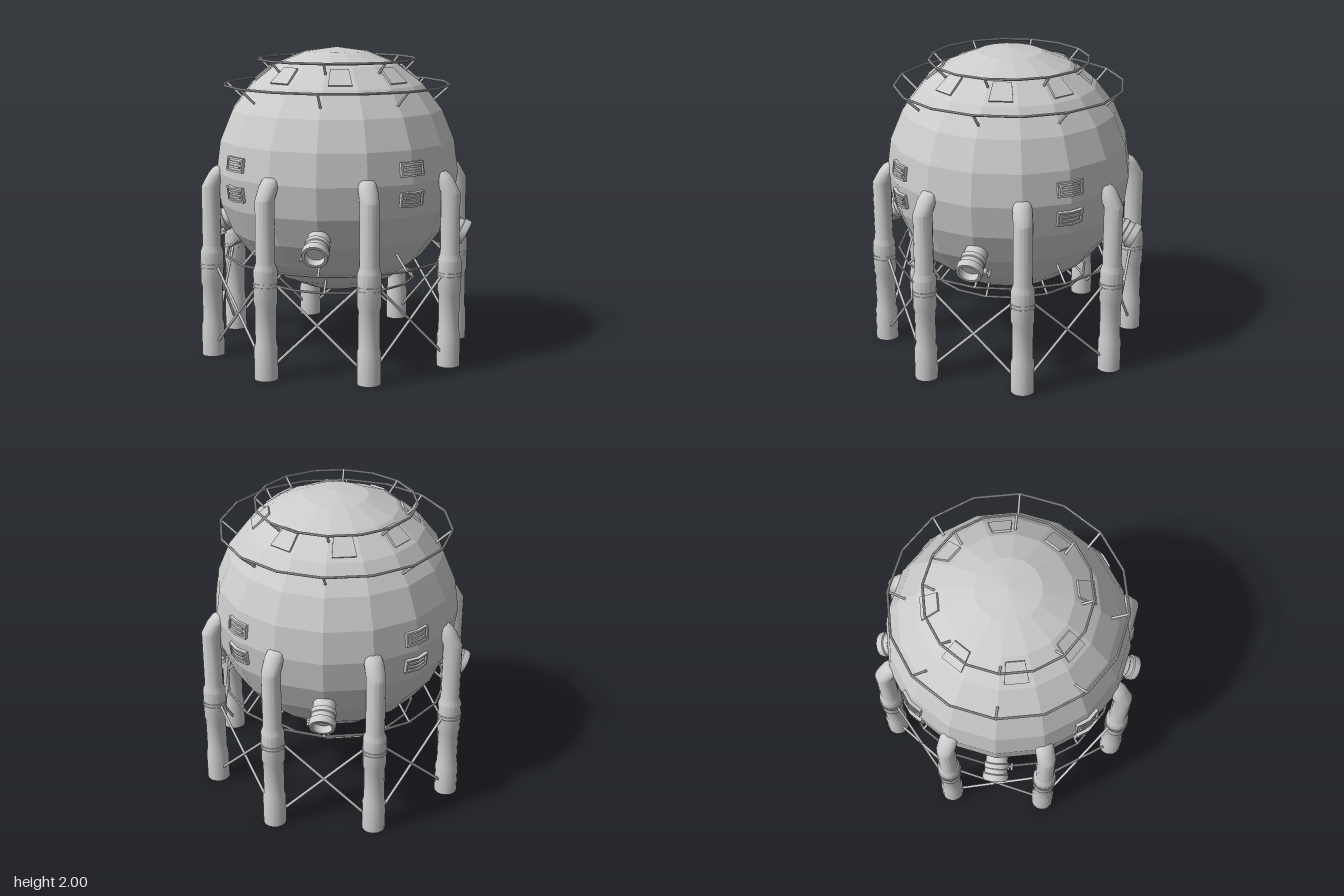
import * as THREE from 'three';
import { toCreasedNormals } from 'three/addons/utils/BufferGeometryUtils.js';

const R = 0.794, CY = 1.206, LEG_R = 0.834;
const smooth = new THREE.MeshStandardMaterial({ color: 0xcccccc, side: THREE.DoubleSide });
const flat = new THREE.MeshStandardMaterial({ color: 0xcccccc, flatShading: true });
const V = (x, y, z) => new THREE.Vector3(x, y, z);

function add(parent, name, geo, mat = smooth) {
  const m = new THREE.Mesh(geo, mat);
  m.name = name;
  parent.add(m);
  return m;
}

function group(parent, name, angle = 0) {
  const g = new THREE.Group();
  g.name = name;
  g.rotation.y = angle;
  parent.add(g);
  return g;
}

// Round bar between two points
function rod(parent, name, a, b, r) {
  const m = add(parent, name, new THREE.CylinderGeometry(r, r, a.distanceTo(b), 8));
  m.position.copy(a).lerp(b, 0.5);
  m.quaternion.setFromUnitVectors(V(0, 1, 0), b.clone().sub(a).normalize());
  return m;
}

const lathe = (pts, sides) =>
  new THREE.LatheGeometry(pts.map(p => new THREE.Vector2(p[0], p[1])), sides);

// Leg profile, its top leaning inwards to meet the tank
function legGeometry() {
  const g = lathe([[0, 0], [0.075, 0], [0.075, 0.2], [0.067, 0.23], [0.067, 0.46], [0.075, 0.49],
    [0.075, 0.69], [0.061, 0.73], [0.061, 1.12], [0.061, 1.2], [0.052, 1.235], [0.035, 1.25], [0, 1.25]], 16);
  const p = g.attributes.position;
  for (let i = 0; i < p.count; i++) {
    const lean = Math.max(0, p.getY(i) - 1.12);
    p.setZ(i, p.getZ(i) - lean * 0.55);
  }
  return toCreasedNormals(g, 0.5);
}

// Box folded at its middle to follow the corner of the tank
function foldedBox(w, h, d, y, z) {
  const g = new THREE.BoxGeometry(w, h, d, 2, 1, 1).translate(0, y, z);
  const p = g.attributes.position;
  for (let i = 0; i < p.count; i++) p.setZ(i, p.getZ(i) - Math.abs(p.getX(i)) * 0.199);
  return g;
}

function addVent(parent, y, tilt) {
  const v = group(parent, 'vent');
  v.position.set(0, y, R * Math.cos(Math.asin((y - CY) / R)) - 0.006);
  v.rotation.x = tilt;
  add(v, 'ventPlate', foldedBox(0.17, 0.092, 0.02, 0, 0), flat);
  for (const s of [-1, 1]) {
    add(v, 'ventFrame', foldedBox(0.17, 0.012, 0.03, s * 0.04, 0.006), flat);
    add(v, 'ventSlat', foldedBox(0.12, 0.014, 0.03, s * 0.014, 0.006), flat);
    const side = add(v, 'ventFrameSide', new THREE.BoxGeometry(0.012, 0.092, 0.03), flat);
    side.position.set(s * 0.079, 0, -0.01);
    side.rotation.y = s * 0.196;
  }
}

function addNozzle(parent, angle, side) {
  const n = group(group(parent, 'nozzle', angle), 'nozzleAxis');
  n.position.y = CY;
  n.rotation.x = Math.PI / 2 + 0.446;
  add(n, 'nozzlePipe', toCreasedNormals(lathe([[0.072, 0.72], [0.072, 0.83], [0.08, 0.835], [0.08, 0.865],
    [0.075, 0.87], [0.075, 0.9], [0.085, 0.905], [0.085, 0.935], [0.08, 0.95], [0.062, 0.95],
    [0.058, 0.9], [0, 0.9]], 20), 0.5));
  // Small drain valve beside the nozzle
  const a = V(side * 0.045, 0.87, 0.045), b = V(side * 0.1, 0.87, 0.075);
  rod(n, 'valveStem', a, b, 0.009);
  rod(n, 'valveHandle', b.clone().add(V(0, -0.025, 0)), b.clone().add(V(0, 0.025, 0)), 0.008);
  rod(n, 'valveBody', V(side * 0.072, 0.85, 0.06), V(side * 0.072, 0.89, 0.06), 0.014);
}

// Trapezoid hatch plate, its lower edge standing proud
function hatchGeometry() {
  const s = new THREE.Shape();
  s.moveTo(-0.075, -0.07);
  s.lineTo(0.075, -0.07);
  s.lineTo(0.057, 0.07);
  s.lineTo(-0.057, 0.07);
  return new THREE.ExtrudeGeometry(s, { depth: 0.014, bevelEnabled: false });
}

export function createModel() {
  const model = new THREE.Group();
  model.name = 'sphericalTank';

  const tank = add(model, 'tank', new THREE.SphereGeometry(R, 16, 12), flat);
  tank.position.y = CY;

  // Guard rails above, mirrored below
  for (const s of [1, -1]) {
    for (const [r, h, r2, h2] of [[0.735, 0.556, 0.63, 0.46], [0.512, 0.718, 0.44, 0.645]]) {
      const rail = add(model, s > 0 ? 'upperRail' : 'lowerRail', new THREE.TorusGeometry(r, 0.008, 8, 16), flat);
      rail.rotation.x = Math.PI / 2;
      rail.position.y = CY + s * h;
      for (let i = 0; i < 8; i++) {
        const g = group(model, 'railBracket', i * Math.PI / 4);
        rod(g, 'railStrut', V(0, CY + s * h, r), V(0, CY + s * h2, r2), 0.008);
      }
    }
  }

  // Hatches centred on every second face near the top
  const hatch = hatchGeometry();
  for (let i = 0; i < 8; i++) {
    const g = group(model, 'hatch', Math.PI / 8 * (2 * i + 0.5));
    const m = add(g, 'hatchPlate', hatch, flat);
    m.position.set(0, 1.832, 0.468);
    m.rotation.x = -0.86;
  }

  // Legs with clamps, and crossed braces between neighbours
  const leg = legGeometry();
  const foot = (i, y) => {
    const a = Math.PI / 8 + i * Math.PI / 4;
    return V(LEG_R * Math.sin(a), y, LEG_R * Math.cos(a));
  };
  for (let i = 0; i < 8; i++) {
    const g = group(model, 'leg', Math.PI / 8 + i * Math.PI / 4);
    add(g, 'legColumn', leg).position.z = LEG_R;
    for (const y of [0.585, 0.608]) {
      const clamp = add(g, 'legClamp', new THREE.CylinderGeometry(0.079, 0.079, 0.01, 16), flat);
      clamp.position.set(0, y, LEG_R);
    }
    rod(model, 'brace', foot(i, 0.04), foot(i + 1, 0.66), 0.009);
    rod(model, 'brace', foot(i, 0.66), foot(i + 1, 0.04), 0.009);
  }

  // Vents on the four sides, nozzles on the four diagonals
  for (let i = 0; i < 4; i++) {
    const g = group(model, 'ventPair', i * Math.PI / 2);
    addVent(g, 1.3, -0.13);
    addVent(g, 1.113, 0.13);
    addNozzle(model, Math.PI / 4 + i * Math.PI / 2, i % 2 ? 1 : -1);
  }
  return model;
}
